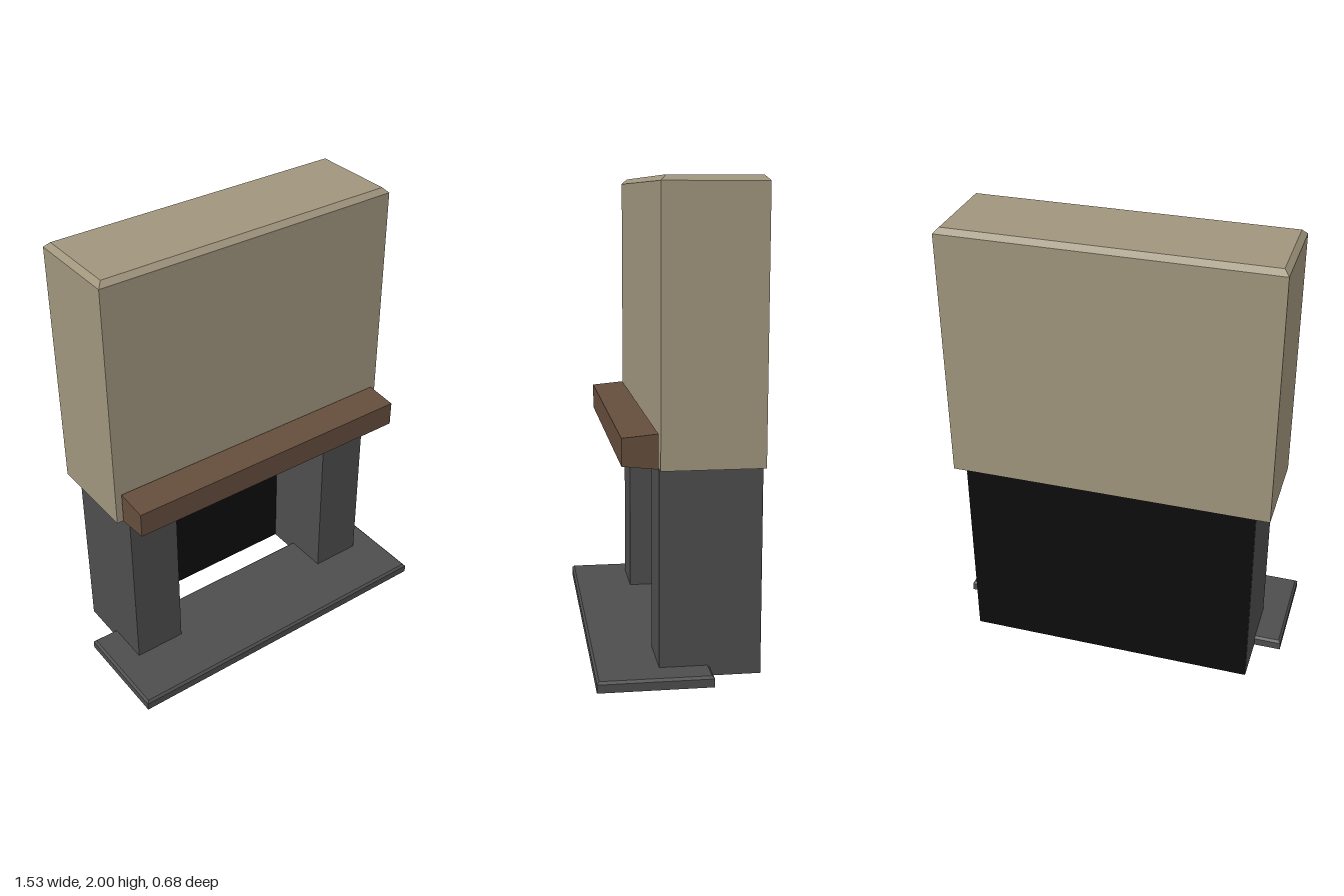
import * as THREE from 'three';

const mat = (name, color) => {
  const m = new THREE.MeshStandardMaterial({ color });
  m.name = name;
  return m;
};

// Box from y0 to y1 whose top edges are chamfered by c
function chamferedBox(x0, x1, y0, y1, z0, z1, c) {
  const ring = (y, i) => [
    [x0 + i, y, z1 - i], [x1 - i, y, z1 - i], [x1 - i, y, z0 + i], [x0 + i, y, z0 + i],
  ];
  const rings = [ring(y0, 0), ring(y1 - c, 0), ring(y1, c)];
  const pos = [];
  const quad = (a, b, d, e) => pos.push(...a, ...b, ...d, ...a, ...d, ...e);
  for (let r = 0; r < 2; r++) {
    for (let k = 0; k < 4; k++) {
      const n = (k + 1) % 4;
      quad(rings[r][k], rings[r][n], rings[r + 1][n], rings[r + 1][k]);
    }
  }
  quad(...rings[2]);
  quad(...[...rings[0]].reverse());
  const g = new THREE.BufferGeometry();
  g.setAttribute('position', new THREE.Float32BufferAttribute(pos, 3));
  g.computeVertexNormals();
  return g;
}

export function createModel() {
  const group = new THREE.Group();
  group.name = 'fireplace';
  const plaster = mat('plaster', 0xa0957d);
  const stone = mat('stone', 0x4d4d4d);
  const wood = mat('wood', 0x644d3c);
  const soot = mat('soot', 0x0c0c0c);

  const add = (name, geometry, material) => {
    const mesh = new THREE.Mesh(geometry, material);
    mesh.name = name;
    group.add(mesh);
    return mesh;
  };

  // Floor slab, which stops short of the back panel
  add('hearth', chamferedBox(-0.765, 0.765, 0, 0.045, -0.13, 0.34, 0.01), stone);

  // Side piers
  add('leftPier', chamferedBox(0.412, 0.645, 0, 0.87, -0.338, 0.078, 0.012), stone);
  add('rightPier', chamferedBox(-0.645, -0.412, 0, 0.87, -0.338, 0.078, 0.012), stone);

  // Dark panel closing the back of the firebox
  const panel = add('backPanel', new THREE.BoxGeometry(1.286, 0.872, 0.07), soot);
  panel.position.set(0, 0.436, -0.305);

  // Chimney breast
  add('chimneyBreast', chamferedBox(-0.705, 0.705, 0.87, 2, -0.34, 0.08, 0.022), plaster);

  // Mantel beam, tapering towards its front edge
  const profile = new THREE.Shape([
    [0.085, 0.872], [0.23, 0.888], [0.23, 1.0], [0.085, 1.013],
  ].map(([z, y]) => new THREE.Vector2(-z, y)));
  const beam = new THREE.ExtrudeGeometry(profile, { depth: 1.355, bevelEnabled: false });
  beam.rotateY(Math.PI / 2);
  beam.translate(-0.6775, 0, 0);
  add('mantel', beam, wood);

  return group;
}
